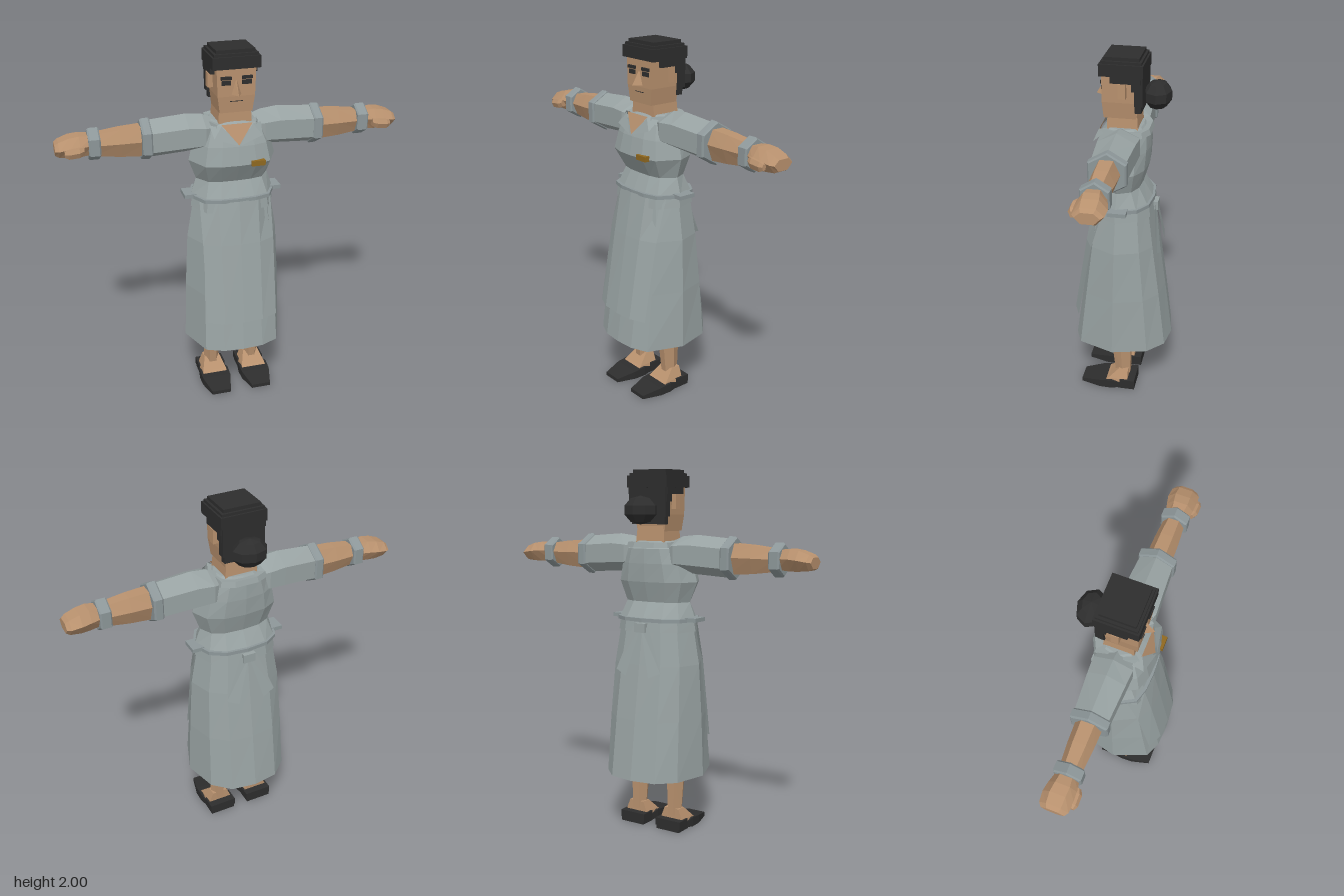
import * as THREE from 'three';

const mat = (name, color) => {
  const m = new THREE.MeshStandardMaterial({ color, flatShading: true, side: THREE.DoubleSide });
  m.name = name;
  return m;
};

// Joins rings of [x, y, z] points into a faceted skin, facing outward
function loft(rings, { caps = true, closed = true } = {}) {
  const tris = [];
  const n = rings[0].length;
  for (let i = 0; i < rings.length - 1; i++) {
    for (let j = 0; j < (closed ? n : n - 1); j++) {
      const k = (j + 1) % n;
      const a = rings[i][j], b = rings[i][k], c = rings[i + 1][k], d = rings[i + 1][j];
      tris.push([a, b, c], [a, c, d]);
    }
  }
  if (caps && closed) {
    const first = rings[0], last = rings[rings.length - 1];
    for (let j = 1; j < n - 1; j++) {
      tris.push([first[0], first[j + 1], first[j]], [last[0], last[j], last[j + 1]]);
    }
  }
  const V = (p) => new THREE.Vector3(...p);
  const centre = new THREE.Vector3();
  rings.flat().forEach((p) => centre.add(V(p)));
  centre.divideScalar(rings.length * n);
  let volume = 0;
  for (const [a, b, c] of tris) {
    volume += V(a).sub(centre).dot(V(b).sub(centre).cross(V(c).sub(centre)));
  }
  const pts = tris.flatMap(([a, b, c]) => (volume < 0 ? [a, c, b] : [a, b, c])).flat();
  const g = new THREE.BufferGeometry();
  g.setAttribute('position', new THREE.Float32BufferAttribute(pts, 3));
  g.computeVertexNormals();
  return g;
}

// Body cross-section: separate front and back depth
const HALF = [[0, 1], [0.4, 0.97], [0.74, 0.82], [1, 0.1], [0.83, -0.6], [0.5, -0.92], [0, -1]];
const OUTLINE = [...HALF, ...HALF.slice(1, -1).reverse().map(([x, z]) => [-x, z])];
const bodyRing = (y, rx, front, back) =>
  OUTLINE.map(([x, z]) => [x * rx, y, z > 0 ? z * front : z * back]);

// Hexagon across the arm, with a point or a flat on top
const POINTY = [[1, 0], [0.5, 1], [-0.5, 1], [-1, 0], [-0.5, -1], [0.5, -1]];
const FLAT = [[1, 0.5], [0.1, 1], [-1, 0.5], [-1, -0.5], [0.1, -1], [1, -0.5]];
const armRing = (shape, x, cy, ry, rz, cz = 0) => shape.map(([y, z]) => [x, cy + y * ry, cz + z * rz]);

const rectY = (y, cx, w, z0, z1) => [[cx - w, y, z0], [cx - w, y, z1], [cx + w, y, z1], [cx + w, y, z0]];
const rectZ = (z, cx, w, y0, y1) => [[cx - w, y0, z], [cx + w, y0, z], [cx + w, y1, z], [cx - w, y1, z]];

export function createModel() {
  const root = new THREE.Group();
  root.name = 'womanInApronDress';
  const dress = mat('greyCloth', 0x98a2a2);
  const trim = mat('greyTrim', 0x8d9799);
  const skin = mat('skin', 0xb8916e);
  const black = mat('black', 0x2d2d2d);
  const brass = mat('brass', 0x8f6820);

  const add = (name, geometry, material) => {
    const m = new THREE.Mesh(geometry, material);
    m.name = name;
    root.add(m);
    return m;
  };
  const box = (name, material, x0, x1, y0, y1, z0, z1) => {
    const m = add(name, new THREE.BoxGeometry(Math.abs(x1 - x0), y1 - y0, z1 - z0), material);
    m.position.set((x0 + x1) / 2, (y0 + y1) / 2, (z0 + z1) / 2);
    return m;
  };

  // Dress
  add('skirt', loft([
    bodyRing(0.32, 0.282, 0.275, 0.275), bodyRing(0.65, 0.272, 0.228, 0.232),
    bodyRing(0.95, 0.256, 0.185, 0.188), bodyRing(1.19, 0.215, 0.15, 0.153),
  ], { caps: false }), dress);
  add('bodice', loft([
    bodyRing(1.19, 0.235, 0.155, 0.158), bodyRing(1.29, 0.2, 0.108, 0.1),
    bodyRing(1.4, 0.24, 0.175, 0.132), bodyRing(1.5, 0.215, 0.155, 0.14),
    bodyRing(1.58, 0.18, 0.125, 0.138), bodyRing(1.62, 0.12, 0.08, 0.1),
  ]), dress);

  // Apron: curved front panel, waistband and tied ribbons
  const apronRow = (y, mid, side) =>
    [[-0.2, side], [-0.11, mid - (mid - side) * 0.15], [0, mid], [0.11, mid - (mid - side) * 0.15], [0.2, side]]
      .map(([x, z]) => [x, y, z]);
  add('apronPanel', loft([
    apronRow(0.5, 0.28, 0.235), apronRow(0.95, 0.208, 0.155), apronRow(1.19, 0.168, 0.085),
  ], { closed: false }), dress);
  add('apronWaistband', loft([
    bodyRing(1.13, 0.233, 0.168, 0.17), bodyRing(1.19, 0.224, 0.16, 0.162),
  ], { caps: false }), dress);
  add('waistSeam', loft([bodyRing(1.185, 0.243, 0.165, 0.163), bodyRing(1.205, 0.243, 0.165, 0.163)]), trim);
  for (const s of [-1, 1]) {
    box('waistFold', trim, s * 0.19, s * 0.272, 1.188, 1.21, -0.05, 0.05);
    add('apronRibbon', loft([
      [[s * 0.0, 1.16, -0.172], [s * 0.05, 1.16, -0.17]],
      [[s * 0.075, 0.89, -0.212], [s * 0.145, 0.92, -0.198]],
    ], { closed: false }), dress);
  }
  box('apronKnot', dress, -0.035, 0.035, 1.13, 1.18, -0.185, -0.15);

  // Neckline and collar
  add('openNeck', loft([
    [[-0.085, 1.615, 0.12], [0.085, 1.615, 0.12]], [[0, 1.51, 0.164], [0, 1.51, 0.164]],
  ], { closed: false }), skin);
  for (const s of [-1, 1]) {
    add('lapel', loft([
      [[s * 0.085, 1.61, 0.125], [s * 0.005, 1.512, 0.172]],
      [[s * 0.14, 1.605, 0.09], [s * 0.13, 1.55, 0.15]],
    ], { closed: false }), dress);
  }
  const collarRow = (y, k) =>
    [[-0.1, 0.11], [-0.13, 0.03], [-0.12, -0.1], [-0.06, -0.13], [0.06, -0.13], [0.12, -0.1], [0.13, 0.03], [0.1, 0.11]]
      .map(([x, z]) => [x * k, y, z * k]);
  add('backCollar', loft([collarRow(1.585, 1.12), collarRow(1.615, 1.05), collarRow(1.61, 0.8)], { closed: false }), dress);
  box('nameBadge', brass, 0.065, 0.14, 1.392, 1.42, 0.15, 0.182);

  // Arms, held straight out
  for (const s of [-1, 1]) {
    const arm = (name, shape, rows, material) =>
      add(name, loft(rows.map(([x, ...r]) => armRing(shape, s * x, ...r))), material);
    arm('sleeve', POINTY, [[0.1, 1.55, 0.07, 0.08], [0.16, 1.55, 0.095, 0.105], [0.25, 1.55, 0.105, 0.1], [0.45, 1.537, 0.103, 0.088]], dress);
    arm('sleeveCuff', POINTY, [[0.44, 1.537, 0.108, 0.09], [0.448, 1.537, 0.115, 0.098], [0.484, 1.537, 0.113, 0.098], [0.493, 1.537, 0.106, 0.09]], trim);
    arm('forearm', FLAT, [[0.46, 1.535, 0.082, 0.07], [0.6, 1.535, 0.073, 0.066], [0.74, 1.535, 0.056, 0.055]], skin);
    arm('wristCuff', POINTY, [[0.704, 1.537, 0.08, 0.064], [0.712, 1.537, 0.088, 0.072], [0.758, 1.537, 0.088, 0.072], [0.766, 1.537, 0.08, 0.064]], trim);
    arm('hand', FLAT, [[0.74, 1.54, 0.05, 0.055], [0.81, 1.54, 0.056, 0.075], [0.86, 1.537, 0.052, 0.08, -0.005], [0.915, 1.53, 0.04, 0.075, -0.005], [0.935, 1.528, 0.028, 0.06, -0.005]], skin);
    arm('thumb', FLAT, [[0.79, 1.53, 0.02, 0.02, 0.065], [0.815, 1.525, 0.026, 0.024, 0.074], [0.87, 1.52, 0.024, 0.022, 0.076], [0.89, 1.52, 0.015, 0.013, 0.075]], skin);
  }

  // Neck and head
  add('neck', loft([rectY(1.56, 0, 0.095, -0.085, 0.085), rectY(1.7, 0, 0.085, -0.075, 0.08)]), skin);
  add('head', loft([
    rectY(1.672, 0, 0.088, -0.07, 0.1), rectY(1.76, 0, 0.1, -0.08, 0.107), rectY(1.93, 0, 0.106, -0.08, 0.107),
  ]), skin);
  add('nose', loft([
    [[-0.03, 1.77, 0.1], [0.03, 1.77, 0.1], [0, 1.772, 0.155]],
    [[-0.008, 1.842, 0.1], [0.008, 1.842, 0.1], [0, 1.842, 0.112]],
  ]), skin);
  box('mouth', black, -0.035, 0.035, 1.732, 1.735, 0.1, 0.1075);
  for (const s of [-1, 1]) {
    box('eye', black, s * 0.03, s * 0.08, 1.822, 1.845, 0.105, 0.113);
    box('brow', black, s * 0.028, s * 0.084, 1.851, 1.867, 0.105, 0.118);
    box('ear', skin, s * 0.1, s * 0.13, 1.79, 1.87, -0.022, 0.018);
    box('sideLock', black, s * 0.1, s * 0.126, 1.87, 1.91, -0.1, 0.06);
    box('sideLock', black, s * 0.1, s * 0.122, 1.83, 1.88, -0.1, -0.05);
  }

  // Hair with stepped crown and bun
  [[1.905, 1.968, 0.128, 0.115], [1.96, 1.982, 0.118, 0.105], [1.975, 2.0, 0.104, 0.092]].forEach(([y0, y1, w, d]) =>
    box('hairCrown', black, -w, w, y0, y1, 0.003 - d, 0.003 + d));
  box('backHair', black, -0.118, 0.118, 1.75, 1.92, -0.108, -0.065);
  box('napeHair', black, -0.105, 0.105, 1.71, 1.76, -0.1, -0.065);
  const bun = add('hairBun', new THREE.SphereGeometry(1, 8, 5), black);
  bun.scale.set(0.1, 0.076, 0.077);
  bun.position.set(0, 1.785, -0.17);

  // Legs, feet and shoes
  for (const s of [-1, 1]) {
    const cx = s * 0.12;
    const legRing = (y, rx, rz, cz) =>
      [[1, 0], [0.45, 1], [-0.45, 1], [-1, 0], [-0.45, -1], [0.45, -1]].map(([x, z]) => [cx + x * rx, y, cz + z * rz]);
    add('leg', loft([legRing(0.08, 0.042, 0.042, -0.01), legRing(0.32, 0.053, 0.058, 0), legRing(0.7, 0.07, 0.07, 0)]), skin);
    add('foot', loft([rectY(0.03, cx, 0.076, -0.045, 0.11), rectY(0.06, cx, 0.07, -0.045, 0.07), rectY(0.12, cx, 0.046, -0.045, 0.01)]), skin);
    add('shoeToe', loft([
      rectZ(0, cx, 0.078, 0.008, 0.04), rectZ(0.05, cx, 0.085, 0, 0.054),
      rectZ(0.12, cx, 0.083, 0, 0.047), rectZ(0.232, cx, 0.055, 0.004, 0.025),
    ]), black);
    box('shoeHeel', black, cx - 0.075, cx + 0.075, 0.0, 0.025, -0.087, 0.01);
    box('shoeBack', black, cx - 0.08, cx + 0.08, 0.02, 0.062, -0.087, 0.0);
  }
  return root;
}
